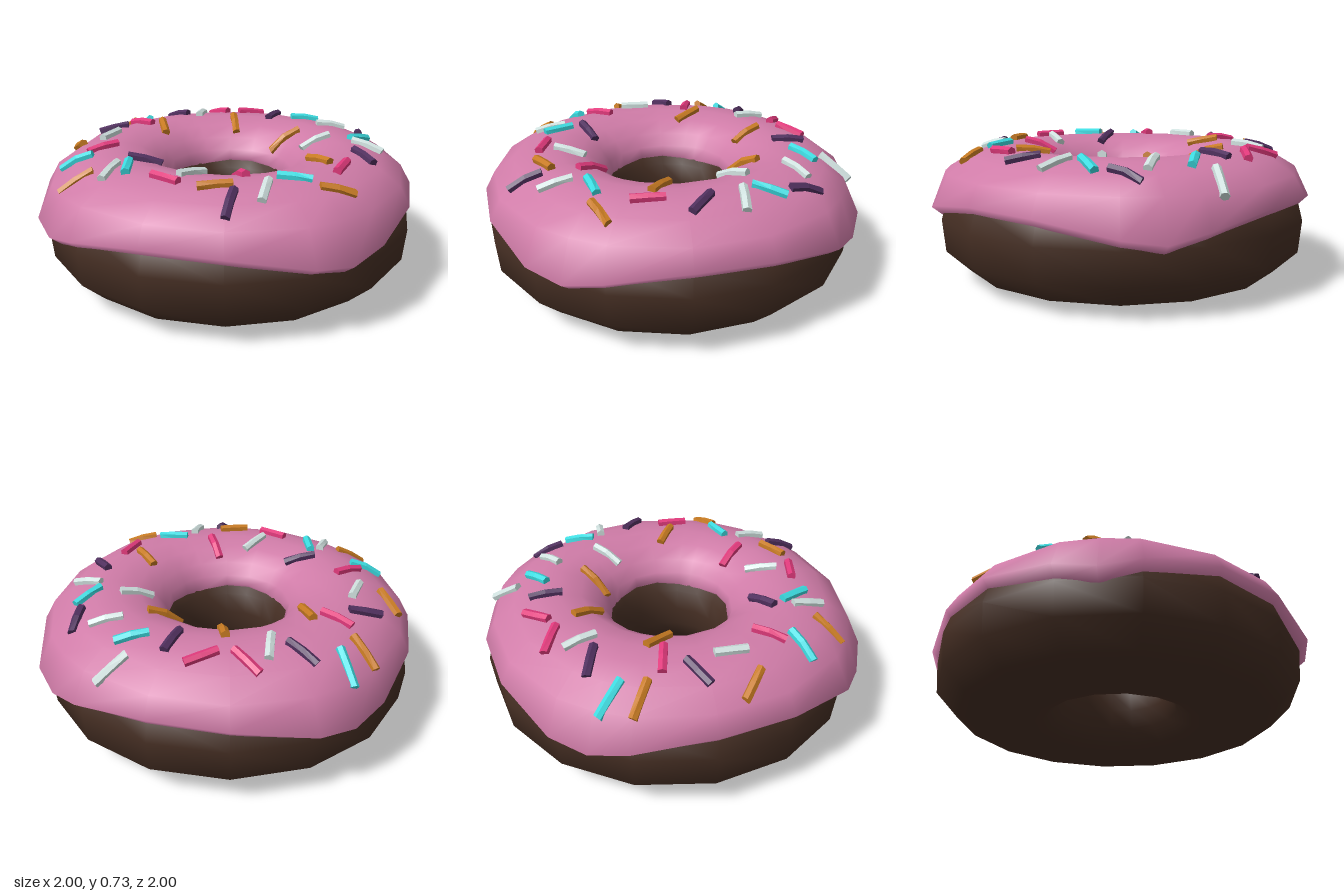
import * as THREE from 'three';

const mat = (name, color) => Object.assign(new THREE.MeshStandardMaterial({ color }), { name });

// Icing cross-section above the outer lip, running over the top and into the hole: [radius, y]
const ICING = [
  [0.945, 0.57], [0.84, 0.645], [0.72, 0.685], [0.6, 0.692],
  [0.48, 0.665], [0.395, 0.61], [0.345, 0.545],
];

// One quarter of the icing rim, repeated four times: [angle, lip radius, hem height]
const RIM = [
  [0, 1.0, 0.42], [22.5, 1.036, 0.365], [33.75, 1.045, 0.32], [45, 1.05, 0.35], [67.5, 1.01, 0.415],
];

// Dough cross-section; its seam is hidden under the icing
const DOUGH = [
  [0.62, 0.62], [0.38, 0.54], [0.305, 0.44], [0.285, 0.33], [0.292, 0.22], [0.33, 0.12],
  [0.41, 0.04], [0.59, 0], [0.86, 0.05], [0.985, 0.17], [1.0, 0.34], [0.965, 0.46], [0.85, 0.57], [0.62, 0.62],
];

// Sprinkles by colour: [x, z, turn in degrees]
const SPRINKLES = {
  white: [0xcfe0de, [
    [0.23, -0.86, -52], [0.4, -0.6, -30], [0.7, -0.275, 5], [0.41, -0.28, -45], [-0.425, -0.535, 75],
    [-0.67, 0.14, 90], [-0.35, 0.65, 85], [0.04, 0.535, -68], [0.44, 0.595, 80]]],
  pink: [0xe03a7c, [
    [-0.36, -0.67, 25], [-0.16, -0.72, -43], [-0.65, -0.18, 15], [-0.575, 0.36, -55],
    [-0.03, 0.675, 14], [0.25, 0.425, 50], [0.68, 0.17, -88]]],
  purple: [0x50305e, [
    [0.015, -0.66, 90], [0.57, -0.6, 75], [-0.57, -0.505, 20], [-0.76, -0.04, -28],
    [-0.28, 0.435, -24], [0.33, 0.745, 80], [0.73, -0.07, 40]]],
  teal: [0x3cdbe0, [
    [0.21, -0.69, -33], [0.62, -0.41, -70], [-0.77, -0.45, 50], [-0.64, 0.505, -22],
    [-0.28, 0.6, 65], [0.52, 0.42, -15]]],
  orange: [0xc67a22, [
    [0.195, -0.385, -40], [-0.165, -0.47, 60], [-0.82, -0.32, 35], [-0.5, -0.17, 55], [-0.84, 0.195, 42],
    [-0.51, 0.7, -38], [0.22, 0.66, -30], [0.72, 0.39, -27], [0.545, 0.1, 35]]],
};

// Icing ring with a drip in each quarter
function icingGeometry() {
  const pos = [], idx = [];
  const cols = RIM.length * 4, rows = ICING.length + 4;
  for (let c = 0; c < cols; c++) {
    const [deg, R, hem] = RIM[c % RIM.length];
    const a = THREE.MathUtils.degToRad(deg + 90 * Math.floor(c / RIM.length));
    const bulge = R - 1, drop = (0.42 - hem) * 0.3;
    const profile = [
      [0.96 + bulge * 0.5, hem], [R, hem + 0.05],
      ...ICING.map(([r, y], i) => [i === 0 ? r + bulge * 0.4 : r, y]),
      [0.325, 0.5 - drop], [0.35, 0.465 - drop],
    ];
    for (const [r, y] of profile) pos.push(r * Math.cos(a), y, r * Math.sin(a));
    const next = (c + 1) % cols;
    for (let j = 0; j < rows - 1; j++) {
      const p = c * rows + j, q = next * rows + j;
      idx.push(p, p + 1, q, q, p + 1, q + 1);
    }
  }
  const g = new THREE.BufferGeometry();
  g.setAttribute('position', new THREE.Float32BufferAttribute(pos, 3));
  g.setIndex(idx);
  g.computeVertexNormals();
  return g;
}

// Height of the icing over a point, allowing for its sixteen flat sides
function icingHeight(x, z) {
  const step = Math.PI / 8;
  const a = ((Math.atan2(z, x) % step) + step) % step;
  const r = Math.hypot(x, z) * Math.cos(a - step / 2) / Math.cos(step / 2);
  for (let i = 0; i < ICING.length - 1; i++) {
    const [r0, y0] = ICING[i], [r1, y1] = ICING[i + 1];
    if (r >= r1 || i === ICING.length - 2) return y0 + (y1 - y0) * (r - r0) / (r1 - r0);
  }
}

// Six-sided stick bent to follow the icing
function sprinkleGeometry(x, z, deg) {
  const a = THREE.MathUtils.degToRad(deg), dx = Math.cos(a), dz = Math.sin(a);
  const g = new THREE.CylinderGeometry(0.024, 0.024, 0.165, 6, 2).toNonIndexed();
  const p = g.attributes.position, e = 0.03;
  for (let i = 0; i < p.count; i++) {
    const t = p.getY(i), px = x + dx * t, pz = z + dz * t;
    const hx = (icingHeight(px + e, pz) - icingHeight(px - e, pz)) / (2 * e);
    const hz = (icingHeight(px, pz + e) - icingHeight(px, pz - e)) / (2 * e);
    const up = new THREE.Vector3(-hx, 1, -hz).normalize();
    const side = new THREE.Vector3(-dz, -dz * hx + dx * hz, dx).normalize();
    const v = new THREE.Vector3(px, icingHeight(px, pz), pz)
      .addScaledVector(side, p.getX(i))
      .addScaledVector(up, p.getZ(i) + 0.01);
    p.setXYZ(i, v.x, v.y, v.z);
  }
  g.computeVertexNormals();
  return g;
}

export function createModel() {
  const model = new THREE.Group();
  model.name = 'donut';
  const add = (parent, name, geometry, material) => {
    const mesh = new THREE.Mesh(geometry, material);
    mesh.name = name;
    parent.add(mesh);
  };

  const profile = DOUGH.map(([r, y]) => new THREE.Vector2(r, y));
  add(model, 'dough', new THREE.LatheGeometry(profile, 16), mat('chocolate dough', 0x452e23));
  add(model, 'icing', icingGeometry(), mat('pink icing', 0xd07ca8));

  for (const [name, [color, list]] of Object.entries(SPRINKLES)) {
    const group = new THREE.Group();
    group.name = name + 'Sprinkles';
    const material = mat(name + ' sprinkle', color);
    for (const [x, z, deg] of list) add(group, name + 'Sprinkle', sprinkleGeometry(x, z, deg), material);
    model.add(group);
  }
  return model;
}
